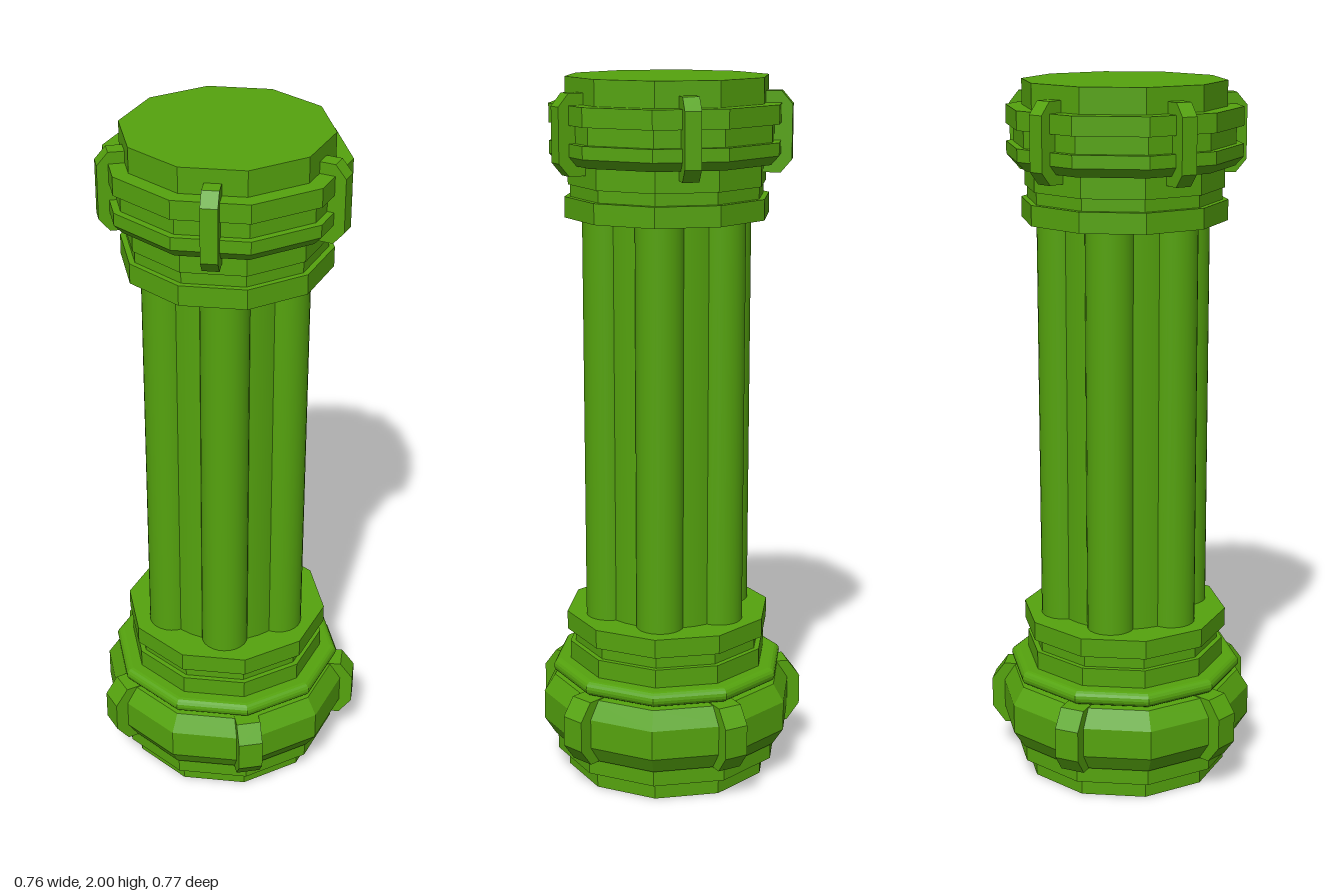
import * as THREE from 'three';

export function createModel() {
  const model = new THREE.Group();
  model.name = 'column';
  const axis = new THREE.Group();
  axis.name = 'columnBody';
  axis.position.x = 0.013;
  model.add(axis);

  const green = new THREE.MeshStandardMaterial({ color: 0x55a30e });
  green.name = 'green';
  green.flatShading = true;
  const smoothGreen = green.clone();
  smoothGreen.name = 'green smooth';
  smoothGreen.flatShading = false;

  const add = (name, geometry, material = green) => {
    const mesh = new THREE.Mesh(geometry, material);
    mesh.name = name;
    axis.add(mesh);
    return mesh;
  };

  // Ten-sided turned part with a corner on the x axis; points are [radius, height]
  const turned = (name, points) => add(name, new THREE.LatheGeometry(
    points.map(([r, y]) => new THREE.Vector2(r, y)), 10, Math.PI / 2));

  // Foot with a hollow underside
  turned('foot', [[0, 0.13], [0.23, 0.13], [0.23, 0], [0.296, 0], [0.296, 0.053],
    [0.328, 0.053], [0.328, 0.1], [0.25, 0.1]]);
  // Swollen cushion
  turned('baseCushion', [[0.25, 0.1], [0.335, 0.1], [0.367, 0.15], [0.367, 0.235],
    [0.335, 0.285], [0.25, 0.29]]);

  // Rounded bead above the cushion
  const bead = [];
  for (let i = 0; i <= 8; i++) {
    const a = -Math.PI / 2 + (i / 8) * Math.PI;
    bead.push([0.317 + 0.021 * Math.cos(a), 0.312 + 0.021 * Math.sin(a)]);
  }
  turned('baseBead', [[0.25, 0.291], ...bead, [0.25, 0.333]]);

  // Stepped collar under the shaft
  turned('lowerCollar', [[0.25, 0.333], [0.288, 0.333], [0.288, 0.386], [0.273, 0.386],
    [0.273, 0.424], [0.296, 0.424], [0.296, 0.478], [0, 0.478]]);

  // Shaft: round core with six half-round ribs
  const shaftBottom = 0.47, shaftTop = 1.63;
  const pole = (name, r, sides) => {
    const mesh = add(name, new THREE.CylinderGeometry(r, r, shaftTop - shaftBottom, sides, 1, true), smoothGreen);
    mesh.position.y = (shaftBottom + shaftTop) / 2;
    return mesh;
  };
  pole('shaftCore', 0.2, 36);
  for (let i = 0; i < 6; i++) {
    const a = (i * Math.PI) / 3;
    const rib = pole('shaftRib', 0.067, 24);
    rib.position.x = 0.182 * Math.cos(a);
    rib.position.z = 0.182 * Math.sin(a);
  }

  // Stepped neck above the shaft
  turned('upperCollar', [[0, 1.62], [0.288, 1.62], [0.288, 1.677], [0.272, 1.677],
    [0.272, 1.71], [0.278, 1.71], [0.278, 1.77]]);
  // Head: two bands with a groove between, and a flat cap
  turned('head', [[0.25, 1.77], [0.305, 1.77], [0.328, 1.795], [0.328, 1.83], [0.308, 1.83],
    [0.308, 1.878], [0.328, 1.878], [0.328, 1.93], [0.283, 1.93], [0.283, 2], [0, 2]]);

  // Five chamfered clips spaced round the axis
  const clips = (name, inner, shoulder, outer, y0, y1, chamfer, width, start) => {
    const shape = new THREE.Shape([[inner, y0], [shoulder, y0], [outer, y0 + chamfer],
      [outer, y1 - chamfer], [shoulder, y1], [inner, y1]].map(([x, y]) => new THREE.Vector2(x, y)));
    const geometry = new THREE.ExtrudeGeometry(shape, { depth: width, bevelEnabled: false });
    geometry.translate(0, 0, -width / 2);
    for (let i = 0; i < 5; i++) add(name, geometry).rotation.y = start + (i * Math.PI * 2) / 5;
  };
  clips('baseClip', 0.29, 0.356, 0.393, 0.1, 0.288, 0.05, 0.07, Math.PI);
  clips('headClip', 0.26, 0.312, 0.342, 1.743, 1.962, 0.035, 0.045, Math.PI / 2);

  return model;
}
